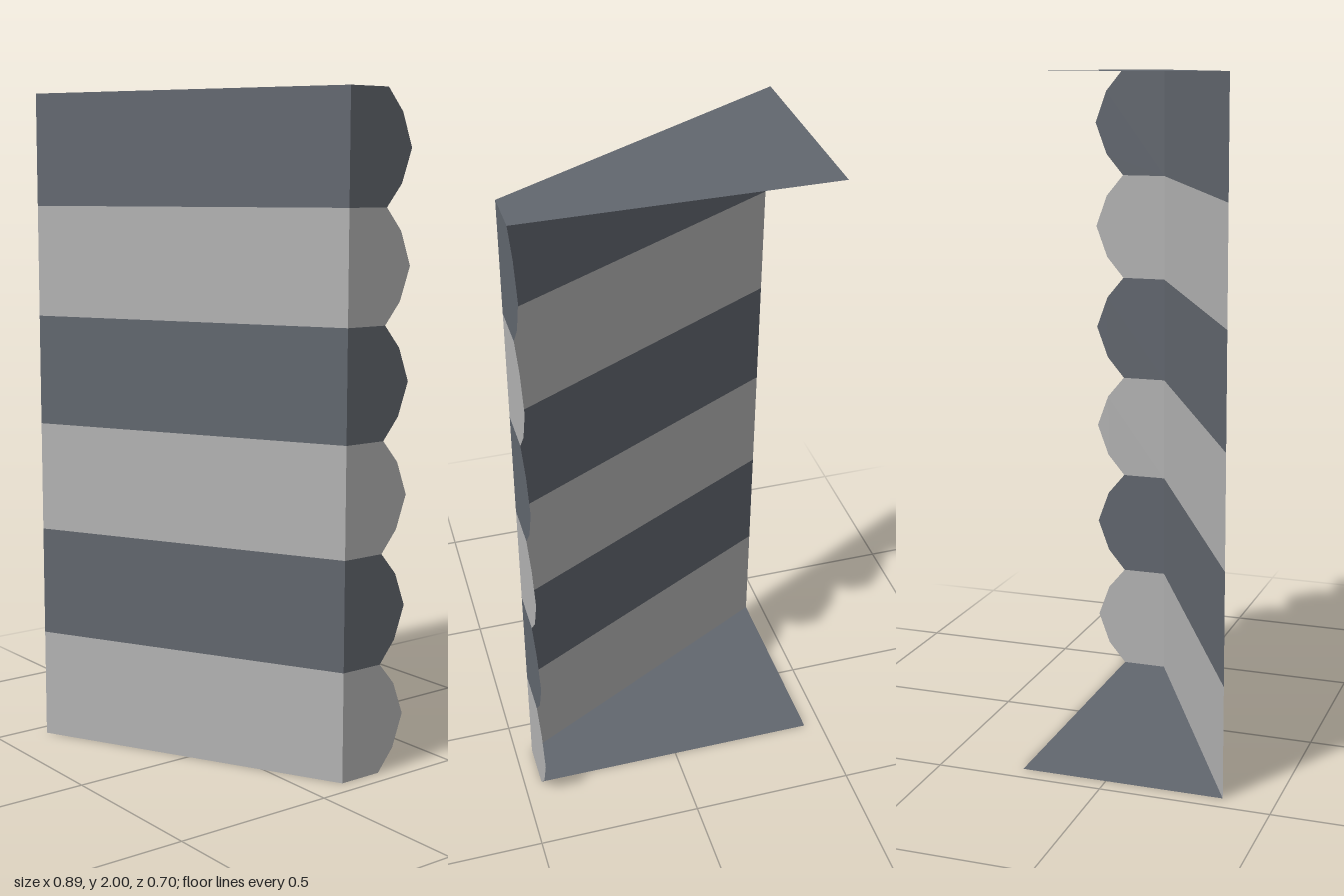
import * as THREE from 'three';

export function createModel() {
  const group = new THREE.Group();
  // Open sheet panels, so both sides must show
  const dark = new THREE.MeshStandardMaterial({ color: 0x62676f, side: THREE.DoubleSide });
  dark.name = 'slateGrey';
  const light = new THREE.MeshStandardMaterial({ color: 0xb4b4b4, side: THREE.DoubleSide });
  light.name = 'lightGrey';

  const bands = 6, bandHeight = 2 / bands;
  const X = 0.447, zFront = 0.35, zCorner = -0.116, zBack = -0.257, zTip = -0.35;

  const add = (name, geometry, material, x, y, z) => {
    const mesh = new THREE.Mesh(geometry, material);
    mesh.name = name;
    mesh.position.set(x, y, z);
    group.add(mesh);
  };
  const polygon = (points) =>
    new THREE.ShapeGeometry(new THREE.Shape(points.map(([x, y]) => new THREE.Vector2(x, y))));

  // One band of the slanted front panel
  const drop = zFront - zCorner;
  const frontBand = new THREE.PlaneGeometry(Math.hypot(2 * X, drop), bandHeight);
  frontBand.rotateY(Math.atan2(drop, 2 * X));

  // One band of the side strip, ending in a rounded tab at the back
  const h = bandHeight / 2;
  const sideBand = polygon([
    [-zCorner, -h], [-zBack, -h], [0.313, -0.1], [-zTip, 0],
    [0.313, 0.1], [-zBack, h], [-zCorner, h],
  ]);
  sideBand.rotateY(Math.PI / 2);

  // Alternating bands from the bottom up
  for (let i = 0; i < bands; i++) {
    const material = i % 2 ? dark : light;
    const y = (i + 0.5) * bandHeight;
    add('frontBand' + (i + 1), frontBand, material, 0, y, (zFront + zCorner) / 2);
    add('sideBand' + (i + 1), sideBand, material, X, y, 0);
  }

  // Flat caps at top and bottom
  const cap = polygon([[-X, -zFront], [X, -zCorner], [X, -zBack], [-X, -zBack]]);
  cap.rotateX(-Math.PI / 2);
  add('topCap', cap, dark, 0, 2, 0);
  add('bottomCap', cap, dark, 0, 0, 0);

  return group;
}
